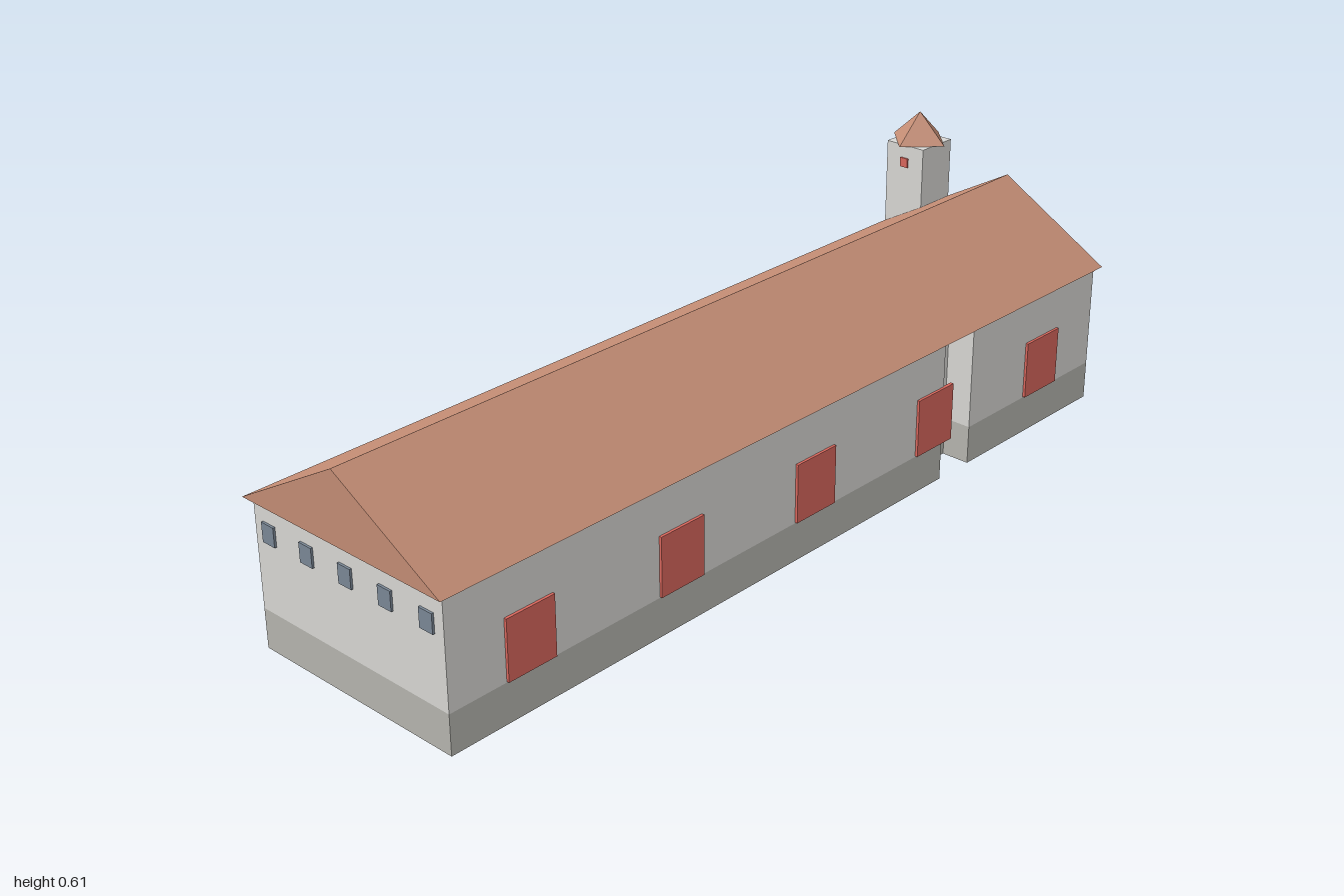
import * as THREE from 'three';

const material = (name, color) => {
  const m = new THREE.MeshStandardMaterial({ color });
  m.name = name;
  return m;
};

export function createModel() {
  const group = new THREE.Group();
  const wall = material('wall plaster', 0xd9d8d5);
  const stone = material('plinth stone', 0xb7b6b0);
  const tile = material('roof tile', 0xc48d75);
  const red = material('red paint', 0xd9675d);
  const glass = material('window glass', 0x7b8896);

  // Box given by its minimum and maximum on each axis
  const box = (name, mat, x0, x1, y0, y1, z0, z1) => {
    const mesh = new THREE.Mesh(new THREE.BoxGeometry(x1 - x0, y1 - y0, z1 - z0), mat);
    mesh.position.set((x0 + x1) / 2, (y0 + y1) / 2, (z0 + z1) / 2);
    mesh.name = name;
    group.add(mesh);
  };

  const left = -0.985, right = 0.975, front = 0.267, back = -0.257, midZ = 0.005;
  const plinthTop = 0.088, eave = 0.327, notch = 0.066;

  // Long hall, recessed connector and short hall, each on a stone plinth
  const blocks = [
    ['longHall', left, 0.42, back, front],
    ['connector', 0.42, 0.52, back + notch, front - notch],
    ['shortHall', 0.52, right, back, front],
  ];
  for (const [name, x0, x1, z0, z1] of blocks) {
    box(name + 'Plinth', stone, x0, x1, 0, plinthTop, z0, z1);
    box(name + 'Wall', wall, x0, x1, plinthTop, eave, z0, z1);
  }

  // Gabled roof: a triangular prism along x
  const profile = new THREE.Shape([
    new THREE.Vector2(-0.275, eave),
    new THREE.Vector2(0.275, eave),
    new THREE.Vector2(0, 0.483),
  ]);
  const roofGeometry = new THREE.ExtrudeGeometry(profile, { depth: 1.99, bevelEnabled: false });
  roofGeometry.rotateY(Math.PI / 2);
  const roof = new THREE.Mesh(roofGeometry, tile);
  roof.position.set(-1, 0, midZ);
  roof.name = 'mainRoof';
  group.add(roof);

  // Front doors
  for (let i = 0; i < 5; i++) {
    const x = -0.79 + i * 0.3925;
    box('door', red, x - 0.059, x + 0.059, 0.09, 0.222, front - 0.002, front + 0.006);
  }

  // Windows on both end walls
  const w = 0.0175, y0 = 0.242, y1 = 0.284;
  for (let i = 0; i < 5; i++) {
    const z = midZ + (i - 2) * 0.11;
    box('endWindow', glass, right - 0.002, right + 0.005, y0, y1, z - w, z + w);
    box('endWindow', glass, left - 0.005, left + 0.002, y0, y1, z - w, z + w);
  }

  // Windows along the back
  const backWindow = (x, z) => box('backWindow', glass, x - w, x + w, y0, y1, z - 0.005, z + 0.002);
  for (let i = 0; i < 13; i++) backWindow(-0.94 + i * 0.1103, back);
  for (let i = 0; i < 4; i++) backWindow(0.565 + i * 0.1217, back);
  backWindow(0.47, back + notch);

  // Corner tower with small openings on two sides
  const tx = 0.922, tz = -0.2045, h = 0.0525, towerTop = 0.536;
  box('tower', wall, tx - h, right + 0.001, 0, towerTop, back + 0.0005, tz + h);
  for (const x of [tx - h - 0.001, right + 0.001]) {
    box('towerOpening', red, x - 0.003, x + 0.003, 0.483, 0.505, tz - 0.0105, tz + 0.0105);
  }

  // Four-sided cap set diagonally on the tower
  const cap = new THREE.Mesh(new THREE.ConeGeometry(0.0745, 0.069, 4), tile);
  cap.geometry = cap.geometry.toNonIndexed();
  cap.geometry.computeVertexNormals();
  cap.position.set(tx, towerTop + 0.0355, tz);
  cap.name = 'towerRoof';
  group.add(cap);

  return group;
}
